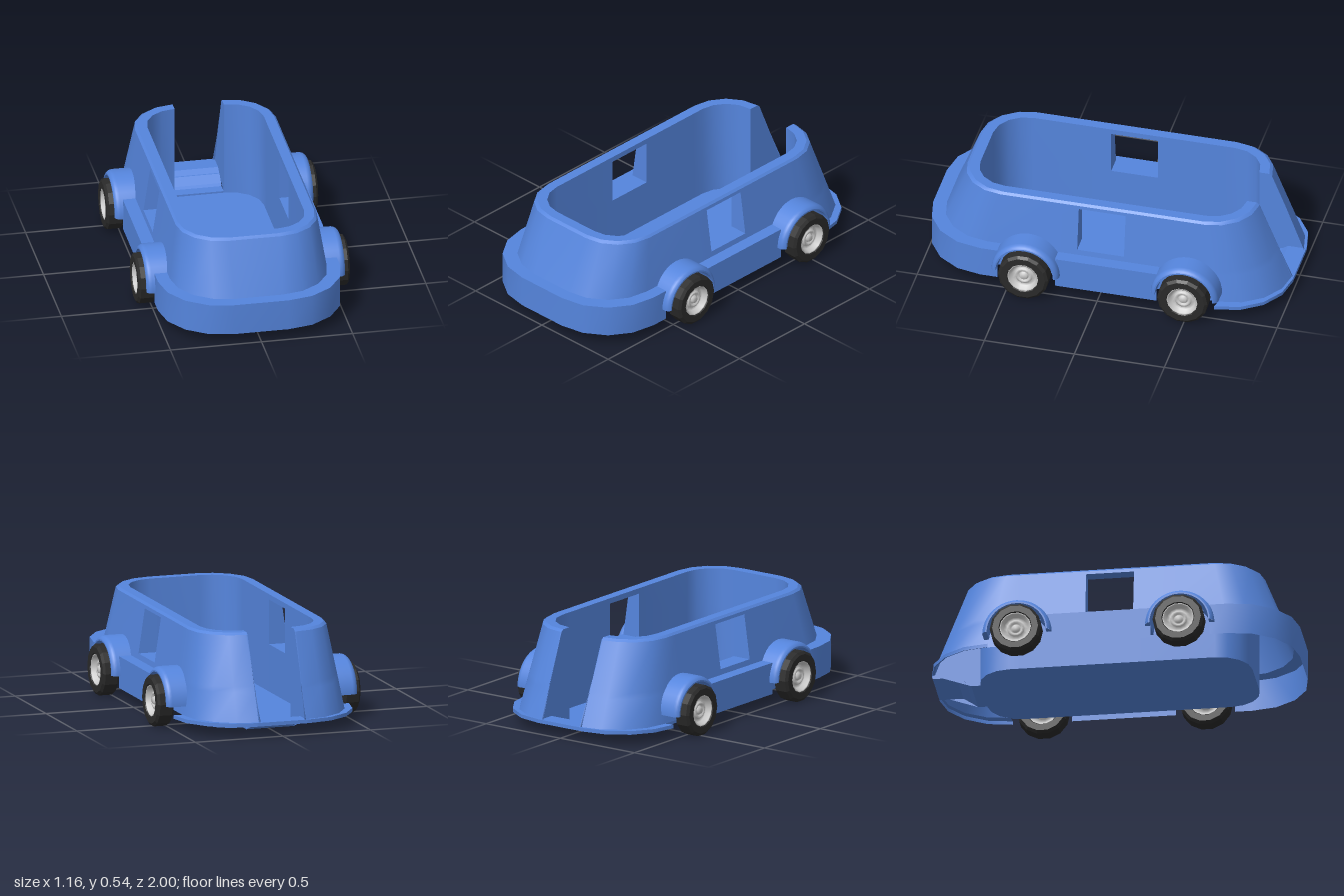
import * as THREE from 'three';

const SLOT = 0.135;               // half width of the rear doorway
const SILL = 0.27, HEAD = 0.515;  // window bottom and top
const WIN = 0.13;                 // window half length
const AXLES = [0.395, -0.49];

const blue = new THREE.MeshStandardMaterial({ color: 0x5585dd, side: THREE.DoubleSide });
const black = new THREE.MeshStandardMaterial({ color: 0x2a2a2a, flatShading: true });
const grey = new THREE.MeshStandardMaterial({ color: 0xcccccc, side: THREE.DoubleSide });

// Rounded-rectangle ring at height y, open at the rear doorway; zs adds points on the straight sides
function outline(hx, hz, r, y, zs) {
  const half = [[SLOT, y, -hz]];
  const corner = (i, s) => {
    const a = i * Math.PI / 8;
    half.push([hx - r + r * Math.sin(a), y, s * (hz - r + r * Math.cos(a))]);
  };
  for (let i = 0; i <= 4; i++) corner(i, -1);
  zs.forEach(z => half.push([hx, y, z]));
  for (let i = 4; i >= 0; i--) corner(i, 1);
  return half.concat(half.slice().reverse().map(([x, yy, z]) => [-x, yy, z]));
}

// Surface through successive rings; keep() can leave panels out
function strip(rings, keep = () => true, flat = false) {
  const n = rings[0].length, index = [];
  for (let j = 0; j < rings.length - 1; j++) {
    for (let i = 0; i < n - 1; i++) {
      const q = [rings[j][i], rings[j][i + 1], rings[j + 1][i], rings[j + 1][i + 1]];
      const mid = k => (q[0][k] + q[1][k] + q[2][k] + q[3][k]) / 4;
      if (!keep(mid(2), mid(1))) continue;
      const a = j * n + i, b = a + 1, c = a + n, d = c + 1;
      index.push(a, c, b, b, c, d);
    }
  }
  let g = new THREE.BufferGeometry();
  g.setAttribute('position', new THREE.Float32BufferAttribute(rings.flat(2), 3));
  g.setIndex(index);
  if (flat) g = g.toNonIndexed();
  g.computeVertexNormals();
  return g;
}

function add(parent, name, geometry, material = blue) {
  const m = new THREE.Mesh(geometry, material);
  m.name = name;
  parent.add(m);
  return m;
}

// Tapered outer wall dimensions at height y
const taper = y => {
  const t = (y - 0.085) / 0.46;
  return [0.453 - 0.068 * t, 0.99 - 0.185 * t, 0.33 - 0.09 * t];
};
const wallZs = [-0.49, -WIN, WIN];
const outer = (y, zs = wallZs) => outline(...taper(y), y, zs);
const inner = y => outline(0.32, 0.74, 0.18, y, wallZs);
const notWindow = (z, y) => !(Math.abs(z) < 0.1 && y > SILL && y < HEAD);

function buildBody() {
  const body = new THREE.Group();
  body.name = 'body';

  // Outer wall runs down to the lip only at the rear
  add(body, 'outerWall', strip([0.085, 0.24, SILL, HEAD, 0.533].map(y => outer(y)),
    (z, y) => notWindow(z, y) && (y > 0.24 || z < -0.49)));
  add(body, 'tubWall', strip([0.01, SILL, HEAD, 0.545].map(inner), notWindow));

  // Rim
  const [hx, hz, r] = taper(0.545);
  const rimEdge = outline(hx - 0.01, hz - 0.01, r, 0.545, wallZs);
  add(body, 'rimBevel', strip([outer(0.533), rimEdge]));
  add(body, 'rim', strip([rimEdge, inner(0.545)]));

  // Tub floor
  const floor = new THREE.ShapeGeometry(
    new THREE.Shape(inner(0).map(([x, , z]) => new THREE.Vector2(x, z))));
  floor.rotateX(Math.PI / 2).translate(0, 0.01, 0);
  add(body, 'tubFloor', floor);

  // Skirt with gaps for the wheels, and its ledge
  const zs = [-0.33, 0.235, 0.555];
  const band = y => outline(0.5, 1, 0.35, y, zs);
  const front = z => z > -0.4 && Math.abs(z - 0.395) > 0.05;
  const rear = z => z < -0.6;
  add(body, 'skirt', strip([band(0.065), band(0.24)], front));
  add(body, 'skirtLedge', strip([band(0.24), outer(0.24, zs)], front));

  // Thin rear lip
  add(body, 'rearLip', strip([band(0.065), band(0.085)], rear));
  add(body, 'rearLipLedge', strip([band(0.085), outer(0.085, zs)], rear));

  // Ramp from the doorway down into the tub
  const ramp = new THREE.Shape([[0.74, 0.01], [0.79, 0.01], [0.86, 0.065], [1, 0.065],
    [1, 0.085], [0.9, 0.085], [0.8, 0.02], [0.74, 0.02]].map(p => new THREE.Vector2(...p)));
  const rampGeo = new THREE.ExtrudeGeometry(ramp, { depth: 2 * SLOT, bevelEnabled: false });
  rampGeo.translate(0, 0, -SLOT).rotateY(Math.PI / 2);
  add(body, 'rearRamp', rampGeo);

  for (const s of [1, -1]) {
    // Doorway cheeks
    const outCol = [0.085, 0.533, 0.545].map((y, i) => [s * SLOT, y, -taper(y)[1] + (i === 2 ? 0.01 : 0)]);
    const inCol = [0.015, 0.533, 0.545].map(y => [s * SLOT, y, -0.74]);
    add(body, 'doorCheek', strip([outCol, inCol], undefined, true));

    // Window reveal
    const frame = fx => [[SILL, -WIN], [SILL, WIN], [HEAD, WIN], [HEAD, -WIN], [SILL, -WIN]]
      .map(([y, z]) => [s * fx(y), y, z]);
    add(body, 'windowFrame', strip([frame(y => taper(y)[0]), frame(() => 0.32)], undefined, true));
  }
  return body;
}

// Half-round arch over a wheel, on the +x side
function buildFender() {
  const fender = new THREE.Group();
  fender.name = 'fender';
  const lathe = pts => new THREE.LatheGeometry(
    pts.map(p => new THREE.Vector2(...p)), 20, Math.PI, Math.PI).rotateZ(-Math.PI / 2);
  add(fender, 'fenderTop', lathe([[0.188, 0.38], [0.188, 0.515], [0.184, 0.53], [0.176, 0.54], [0.168, 0.545]]));
  add(fender, 'fenderLip', lathe([[0.168, 0.545], [0.16, 0.545]]));
  add(fender, 'fenderInside', lathe([[0.16, 0.545], [0.16, 0.38]]));
  for (const s of [1, -1]) {
    add(fender, 'fenderFoot', strip([
      [[0.38, 0, s * 0.16], [0.52, 0, s * 0.16], [0.545, 0, s * 0.16]],
      [[0.38, 0, s * 0.188], [0.52, 0, s * 0.188], [0.545, 0, s * 0.168]]]));
  }
  return fender;
}

// Wheel turned about x, the same on both faces
function buildWheel() {
  const wheel = new THREE.Group();
  wheel.name = 'wheel';
  const spin = pts => new THREE.LatheGeometry(
    pts.map(p => new THREE.Vector2(...p)), 14).rotateZ(-Math.PI / 2);
  add(wheel, 'tyre', spin([[0.084, -0.04], [0.09, -0.047], [0.125, -0.047], [0.14, -0.035],
    [0.14, 0.035], [0.125, 0.047], [0.09, 0.047], [0.084, 0.04]]), black);
  const face = [[0.086, 0.042], [0.078, 0.042], [0.068, 0.015], [0.05, 0.01],
    [0.046, 0.024], [0.034, 0.026], [0.03, 0.016], [0.022, 0.018], [0.018, 0.03], [0, 0.03]];
  add(wheel, 'rimOutside', spin(face), grey);
  add(wheel, 'rimInside', spin(face.map(([r, x]) => [r, -x])), grey);
  return wheel;
}

export function createModel() {
  const model = new THREE.Group();
  model.name = 'toyCar';
  model.add(buildBody());
  for (const s of [1, -1]) {
    for (const z of AXLES) {
      const fender = buildFender();
      fender.scale.x = s;
      fender.position.set(0, 0.135, z);
      const wheel = buildWheel();
      wheel.position.set(s * 0.533, 0.14, z);
      model.add(fender, wheel);
    }
  }
  return model;
}
